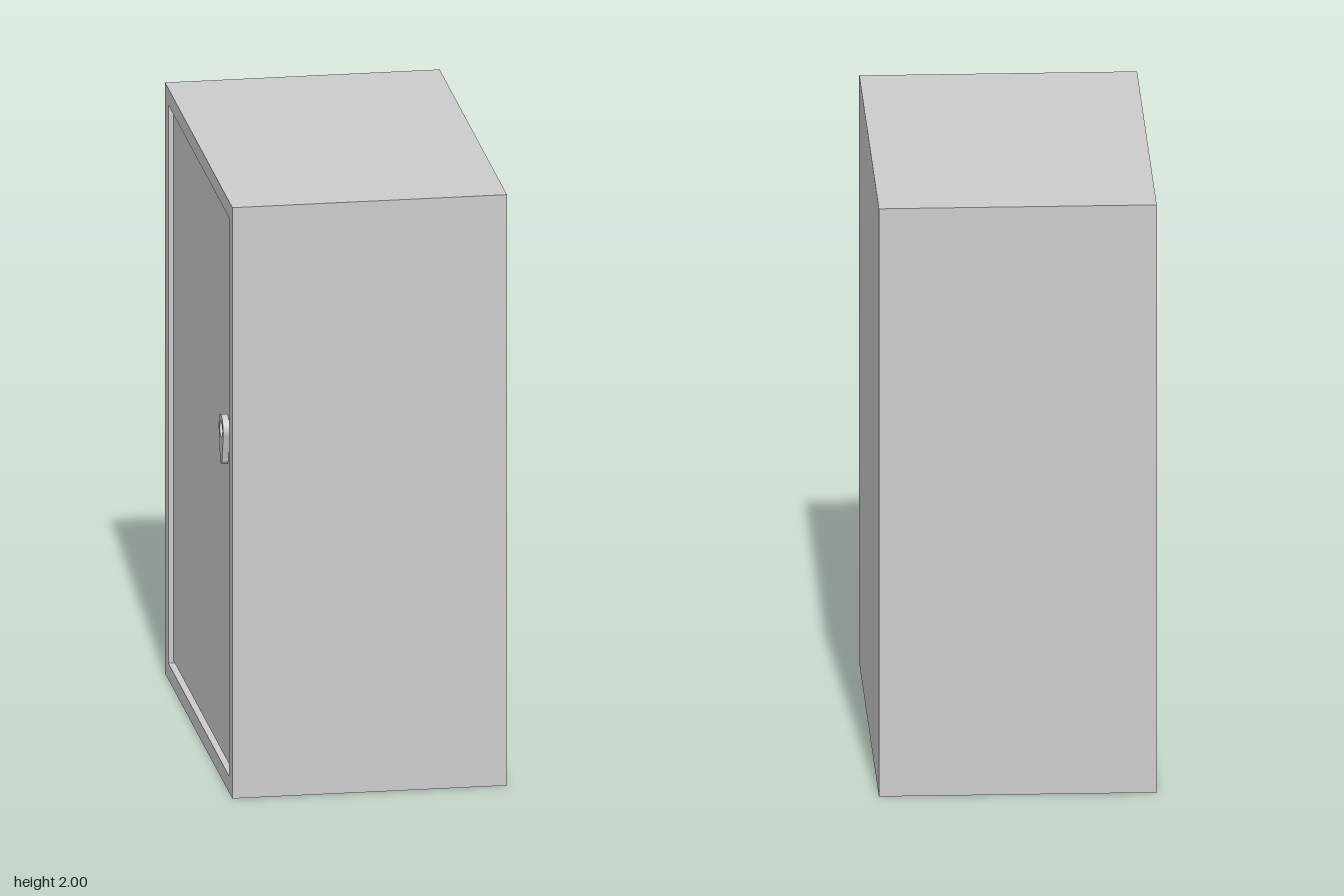
import * as THREE from 'three';

const H = 2, D = 1.38, FACE = -0.447, BACK = 0.452; // door face looks toward -x
const mat = new THREE.MeshStandardMaterial({ color: 0xcccccc });

// Rectangle outline in the (z, y) plane
function rect(z0, y0, z1, y1, Type = THREE.Shape) {
  const s = new Type();
  s.moveTo(z0, y0);
  s.lineTo(z1, y0);
  s.lineTo(z1, y1);
  s.lineTo(z0, y1);
  s.closePath();
  return s;
}

// Extrude a (z, y) outline along x, from the inner to the outer position
function slab(name, shape, xInner, xOuter) {
  const geo = new THREE.ExtrudeGeometry(shape, { depth: xInner - xOuter, bevelEnabled: false, curveSegments: 12 });
  geo.rotateY(-Math.PI / 2);
  geo.translate(xInner, 0, 0);
  const mesh = new THREE.Mesh(geo, mat);
  mesh.name = name;
  return mesh;
}

// Teardrop outline: round head tapering to a narrow rounded foot
function teardrop(z, yHead, rHead, yFoot, rFoot) {
  const s = new THREE.Shape();
  s.absarc(z, yHead, rHead, -0.2, Math.PI + 0.2, false);
  s.absarc(z, yFoot, rFoot, Math.PI, Math.PI * 2, false);
  s.closePath();
  return s;
}

export function createModel() {
  const group = new THREE.Group();
  const z = D / 2, inset = 0.068, rim = 0.055, gap = 0.01;

  // Closed cabinet body
  group.add(slab('cabinetBody', rect(-z, 0, z, H), BACK, -0.418));

  // Rim around the door opening
  const frame = rect(-z, 0, z, H);
  frame.holes.push(rect(-z + inset, rim, z - inset, H - rim, THREE.Path));
  group.add(slab('doorFrame', frame, -0.418, FACE));

  // Recessed door with a narrow gap all round
  group.add(slab('door',
    rect(-z + inset + gap, rim + gap, z - inset - gap, H - rim - gap), -0.418, -0.431));

  // Handle plate with a round lock recess
  const handle = new THREE.Group();
  handle.name = 'handle';
  const hz = 0.488, hy = 1.19;
  const plate = teardrop(hz, hy, 0.047, 1.095, 0.022);
  const hole = new THREE.Path();
  hole.absarc(hz, hy, 0.027, 0, Math.PI * 2, true);
  plate.holes.push(hole);
  handle.add(slab('handlePlate', plate, -0.431, -0.452));

  // Lock cylinder set inside the recess
  const lock = new THREE.Mesh(new THREE.CylinderGeometry(0.014, 0.014, 0.012, 20), mat);
  lock.name = 'lockCylinder';
  lock.rotation.z = Math.PI / 2;
  lock.position.set(-0.437, hy, hz);
  handle.add(lock);
  group.add(handle);

  return group;
}
